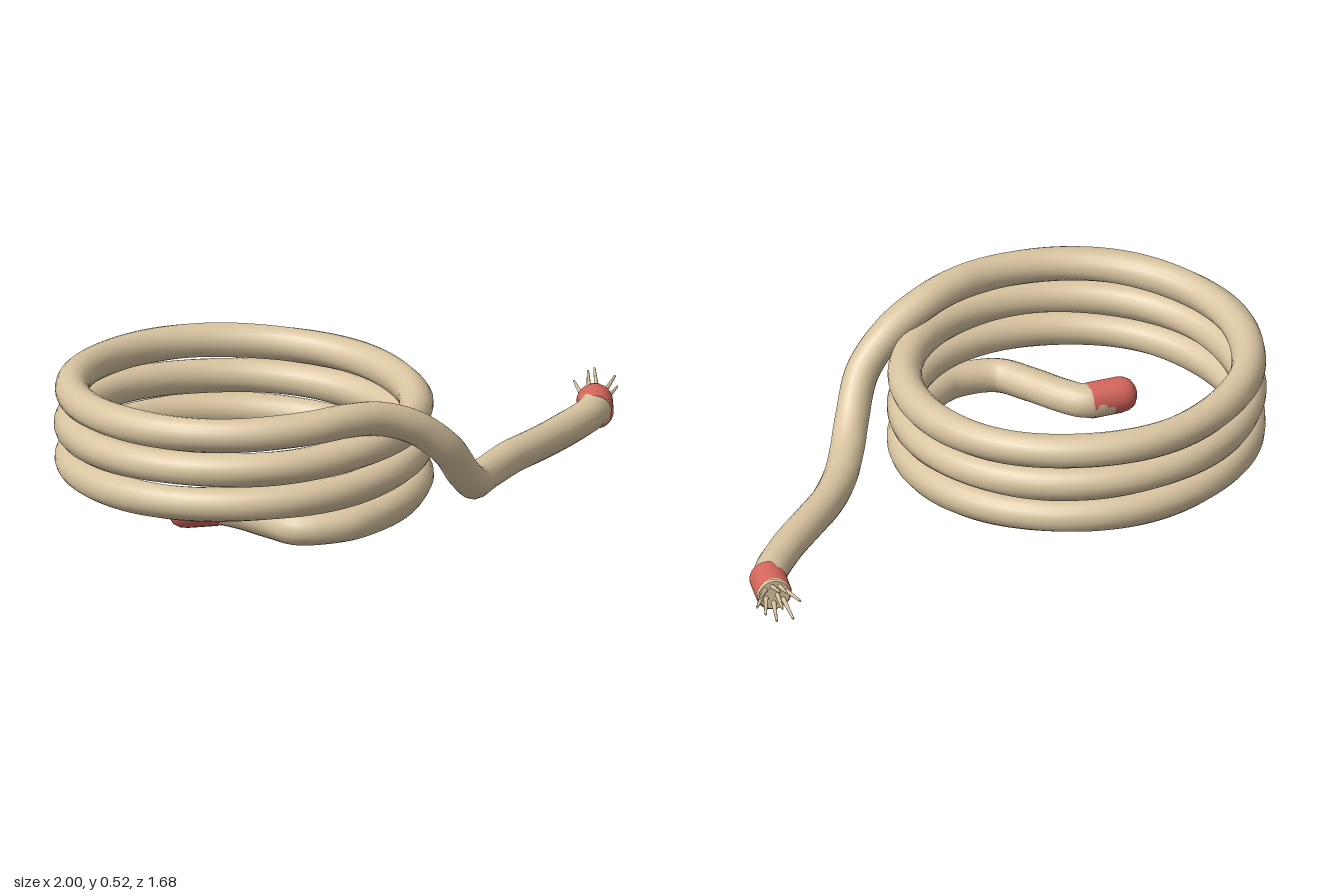
import * as THREE from 'three';

const V = (x, y, z) => new THREE.Vector3(x, y, z);

export function createModel() {
  const model = new THREE.Group();
  model.name = 'ropeCoil';
  const ropeMat = new THREE.MeshStandardMaterial({ color: 0xd8c4a0 });
  ropeMat.name = 'hemp rope';
  const redMat = new THREE.MeshStandardMaterial({ color: 0xd6665c, side: THREE.DoubleSide });
  redMat.name = 'red binding';

  const add = (geo, mat, name) => {
    const mesh = new THREE.Mesh(geo, mat);
    mesh.name = name;
    model.add(mesh);
    return mesh;
  };
  // Place a part so its local +y runs from point a towards point b
  const aim = (mesh, a, b) => {
    mesh.position.copy(a);
    mesh.quaternion.setFromUnitVectors(V(0, 1, 0), b.clone().sub(a).normalize());
    return mesh;
  };

  // Rope path: inner tail, three rising turns, then the loose end
  const cx = -0.327, cz = 0.165, R = 0.612, rise = 0.13;
  const points = [V(-0.5, 0.065, 0.464), V(-0.41, 0.065, 0.45), V(-0.33, 0.067, 0.5),
    V(-0.23, 0.068, 0.6), V(-0.13, 0.068, 0.685)];
  for (let deg = 36; deg <= 1080 + 15; deg += 12) {
    const a = THREE.MathUtils.degToRad(deg);
    points.push(V(cx + R * Math.sin(a), 0.06 + rise * deg / 360, cz + R * Math.cos(a)));
  }
  points.push(V(-0.08, 0.458, 0.725), V(0.04, 0.462, 0.655), V(0.16, 0.445, 0.575),
    V(0.29, 0.385, 0.505), V(0.4, 0.275, 0.435), V(0.455, 0.15, 0.33), V(0.49, 0.085, 0.22),
    V(0.535, 0.068, 0.08), V(0.615, 0.068, -0.09), V(0.71, 0.068, -0.24),
    V(0.82, 0.068, -0.41), V(0.895, 0.068, -0.55), V(0.917, 0.068, -0.64), V(0.917, 0.068, -0.722));
  const path = new THREE.CatmullRomCurve3(points);
  path.arcLengthDivisions = 3000;

  // Tube with a shallow three-strand twist pressed into it
  const steps = 700, sides = 18;
  const rope = new THREE.TubeGeometry(path, steps, 0.061, sides);
  const pos = rope.attributes.position, nor = rope.attributes.normal;
  for (let i = 0; i <= steps; i++) {
    for (let j = 0; j <= sides; j++) {
      const k = i * (sides + 1) + j;
      const d = 0.0025 * Math.cos(3 * (j / sides * Math.PI * 2) + i * 0.18);
      pos.setXYZ(k, pos.getX(k) + nor.getX(k) * d, pos.getY(k) + nor.getY(k) * d, pos.getZ(k) + nor.getZ(k) * d);
    }
  }
  add(rope, ropeMat, 'rope');

  // Rounded cap on the inner tail
  const capProfile = [[0.062, 0], [0.065, 0.004], [0.065, 0.115], [0.061, 0.142], [0.049, 0.163],
    [0.028, 0.176], [0, 0.18]].map(p => new THREE.Vector2(...p));
  aim(add(new THREE.LatheGeometry(capProfile, 24), redMat, 'tailCap'),
    V(-0.418, 0.066, 0.45), V(-0.594, 0.066, 0.487));

  // Open sleeve on the loose end
  const sleeveProfile = [[0.058, 0], [0.065, 0.001], [0.065, 0.119], [0.058, 0.12]]
    .map(p => new THREE.Vector2(...p));
  aim(add(new THREE.LatheGeometry(sleeveProfile, 24), redMat, 'endSleeve'),
    V(0.919, 0.068, -0.592), V(0.916, 0.068, -0.712));

  // Cut face of the rope inside the sleeve
  aim(add(new THREE.CylinderGeometry(0.056, 0.061, 0.02, 24), ropeMat, 'ropeEnd'),
    V(0.916, 0.068, -0.714), V(0.916, 0.068, -0.8));

  // Frayed strands: [start x, start y, tip x, tip y, tip z]
  const frays = [
    [0.875, 0.08, 0.842, 0.1, -0.835], [0.885, 0.05, 0.868, 0.032, -0.84],
    [0.897, 0.1, 0.892, 0.138, -0.835], [0.905, 0.068, 0.905, 0.07, -0.83],
    [0.918, 0.04, 0.925, 0.02, -0.825], [0.925, 0.1, 0.915, 0.146, -0.84],
    [0.945, 0.06, 0.965, 0.05, -0.825], [0.945, 0.09, 0.988, 0.12, -0.83],
    [0.955, 0.07, 0.996, 0.082, -0.825]];
  const strands = new THREE.Group();
  strands.name = 'frayedStrands';
  model.add(strands);
  for (const [x, y, tx, ty, tz] of frays) {
    const a = V(x, y, -0.715), b = V(tx, ty, tz);
    const len = a.distanceTo(b);
    const geo = new THREE.CylinderGeometry(0.004, 0.0095, len, 8).translate(0, len / 2, 0);
    const strand = aim(new THREE.Mesh(geo, ropeMat), a, b);
    strand.name = 'strand';
    strands.add(strand);
  }
  return model;
}
